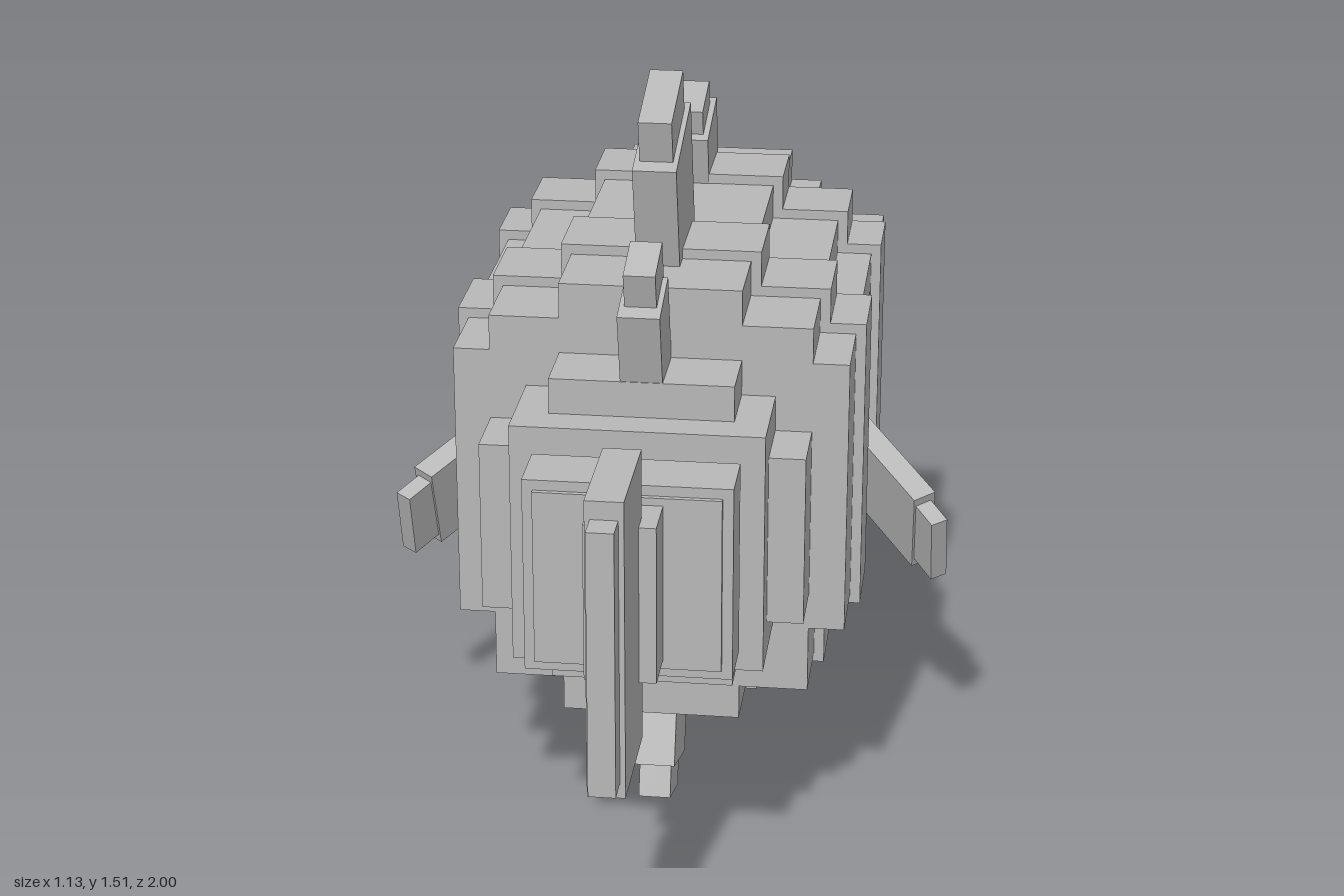
import * as THREE from 'three';

export function createModel() {
  const model = new THREE.Group();
  model.name = 'blockFish';
  const grey = new THREE.MeshStandardMaterial({ color: 0xb8b8b8 });
  grey.name = 'plain grey';

  const add = (name, geometry) => {
    const mesh = new THREE.Mesh(geometry, grey);
    mesh.name = name;
    model.add(mesh);
    return mesh;
  };

  // Box centred on x, from half width and y / z ranges
  const block = (name, half, y0, y1, z0, z1, x = 0) =>
    add(name, new THREE.BoxGeometry(half * 2, y1 - y0, z1 - z0))
      .position.set(x, (y0 + y1) / 2, (z0 + z1) / 2);

  // Slab running from p to q; its width follows the hint direction
  const fin = (name, p, q, thick, width, hint = [0, 0, 1]) => {
    const a = new THREE.Vector3(...p), b = new THREE.Vector3(...q);
    const length = a.distanceTo(b);
    const along = b.clone().sub(a).normalize();
    const across = new THREE.Vector3(...hint);
    across.addScaledVector(along, -across.dot(along)).normalize();
    const side = new THREE.Vector3().crossVectors(along, across);
    const mesh = add(name, new THREE.BoxGeometry(thick, length, width));
    mesh.quaternion.setFromRotationMatrix(new THREE.Matrix4().makeBasis(side, along, across));
    mesh.position.copy(a.add(b).multiplyScalar(0.5));
  };

  // Body: three crossed boxes give the stepped outline
  block('bodyTall', 0.175, 0.26, 1.16, -0.52, 0.31);
  block('bodyMiddle', 0.31, 0.33, 1.09, -0.52, 0.31);
  block('bodyCore', 0.35, 0.465, 1.02, -0.52, 0.31);

  // Side panels, each with a square recess
  const panel = new THREE.Shape();
  panel.moveTo(-0.52, 0.465).lineTo(0.31, 0.465).lineTo(0.31, 1.02).lineTo(-0.52, 1.02).closePath();
  const opening = new THREE.Path();
  opening.moveTo(-0.315, 0.745).lineTo(-0.315, 0.945).lineTo(-0.105, 0.945).lineTo(-0.105, 0.745).closePath();
  panel.holes.push(opening);
  for (const s of [1, -1]) {
    const mesh = add(s > 0 ? 'leftSidePanel' : 'rightSidePanel',
      new THREE.ExtrudeGeometry(panel, { depth: 0.03, bevelEnabled: false }));
    mesh.rotation.y = -Math.PI / 2;
    mesh.position.x = s > 0 ? 0.38 : -0.35;
  }

  // Raised bands around the body
  for (const [z0, z1] of [[-0.025, 0.143], [-0.475, -0.325]]) {
    block('bandTall', 0.195, 0.24, 1.18, z0, z1);
    block('bandMiddle', 0.33, 0.31, 1.11, z0, z1);
    block('bandWide', 0.4, 0.445, 1.04, z0, z1);
  }

  // Tapering tail stalk
  block('stalkTall', 0.175, 0.4, 1.02, 0.31, 0.445);
  block('stalkWide', 0.31, 0.54, 0.88, 0.31, 0.445);
  block('stalkMiddle', 0.24, 0.47, 0.95, 0.31, 0.515);
  block('stalkRing', 0.195, 0.515, 0.9, 0.525, 0.645);
  block('stalkEnd', 0.175, 0.535, 0.88, 0.5, 0.655);
  block('tailRoot', 0.067, 0.555, 0.865, 0.65, 0.755);
  block('tailFin', 0.035, 0.42, 0.998, 0.71, 0.945);
  block('tailFinEdge', 0.025, 0.45, 0.963, 0.945, 1);

  // Head with face, jaw, mouth and slanted brow
  block('headTall', 0.175, 0.33, 1.088, -0.8, -0.52);
  block('headMiddle', 0.24, 0.4, 1.02, -0.8, -0.52);
  block('headWide', 0.31, 0.47, 0.95, -0.8, -0.52);
  block('face', 0.215, 0.48, 0.93, -0.935, -0.8);
  block('jaw', 0.175, 0.4, 0.48, -0.895, -0.8);
  block('mouth', 0.1, 0.585, 0.665, -1, -0.93);
  fin('brow', [0, 0.963, -0.76], [0, 0.818, -0.93], 0.46, 0.11);

  // Fins along the back and belly: [base z, y], [end z, y], thickness, width
  const centreFins = [
    ['tailwardBackFin', [0.355, 0.95], [0.42, 1.18], 0.08, 0.132],
    ['tailwardBackFinTip', [0.375, 1.11], [0.417, 1.254], 0.06, 0.11],
    ['mainBackFin', [0.018, 1.0], [0.128, 1.4], 0.084, 0.246],
    ['mainBackFinTip', [0.1, 1.32], [0.145, 1.484], 0.064, 0.19],
    ['headwardBackFin', [-0.452, 1.0], [-0.382, 1.281], 0.084, 0.173],
    ['headwardBackFinTip', [-0.402, 1.2], [-0.369, 1.332], 0.06, 0.125],
    ['bellyFin', [0.082, 0.39], [0.182, 0.091], 0.084, 0.19],
    ['bellyFinTip', [0.165, 0.12], [0.195, 0.022], 0.064, 0.138],
  ];
  for (const [name, [z0, y0], [z1, y1], thick, width] of centreFins)
    fin(name, [0, y0, z0], [0, y1, z1], thick, width);

  // Paired fins
  for (const s of [1, -1]) {
    const label = s > 0 ? 'left' : 'right';
    fin(label + 'PelvicFin', [s * 0.12, 0.37, -0.45], [s * 0.168, 0.123, -0.289], 0.055, 0.1);
    fin(label + 'PelvicFinTip', [s * 0.165, 0.14, -0.301], [s * 0.173, 0.08, -0.265], 0.042, 0.08);
    const up = [0, 0.176, 0.06];
    fin(label + 'SideFin', [s * 0.335, 0.613, -0.3], [s * 0.515, 0.521, -0.062], 0.05, 0.188, up);
    fin(label + 'SideFinTip', [s * 0.5, 0.528, -0.08], [s * 0.55, 0.503, -0.005], 0.036, 0.15, up);

    // Eyes
    block(label + 'Eye', 0.05, 0.745, 0.945, -0.8, -0.595, s * 0.33);
  }
  return model;
}
